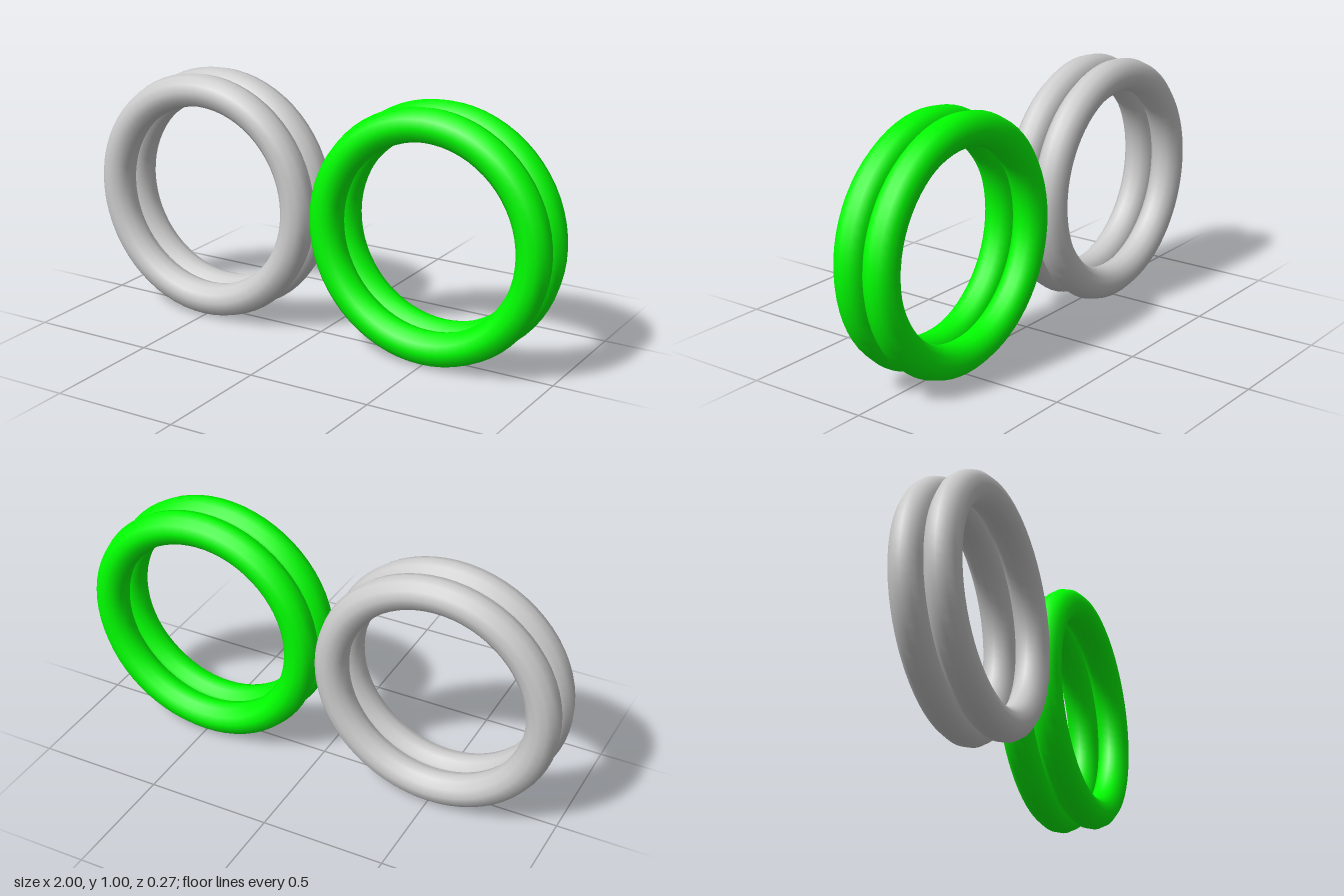
import * as THREE from 'three';

const TUBE = 0.0667; // radius of the ring's round section
const RING = 0.4333; // radius of the ring's centre line

export function createModel() {
  const model = new THREE.Group();
  const ringGeometry = new THREE.TorusGeometry(RING, TUBE, 12, 64);

  // A pair of touching rings, one behind the other
  function ringPair(name, x, color) {
    const pair = new THREE.Group();
    pair.name = name;
    const material = new THREE.MeshStandardMaterial({ color });
    for (const [ringName, side] of [['frontRing', 1], ['backRing', -1]]) {
      const ring = new THREE.Mesh(ringGeometry, material);
      ring.name = ringName;
      ring.position.z = side * TUBE;
      pair.add(ring);
    }
    pair.position.set(x, RING + TUBE, 0);
    return pair;
  }

  model.add(
    ringPair('rightRingPair', -0.5, 0xcccccc),
    ringPair('leftRingPair', 0.5, 0x00ff00),
  );
  return model;
}
